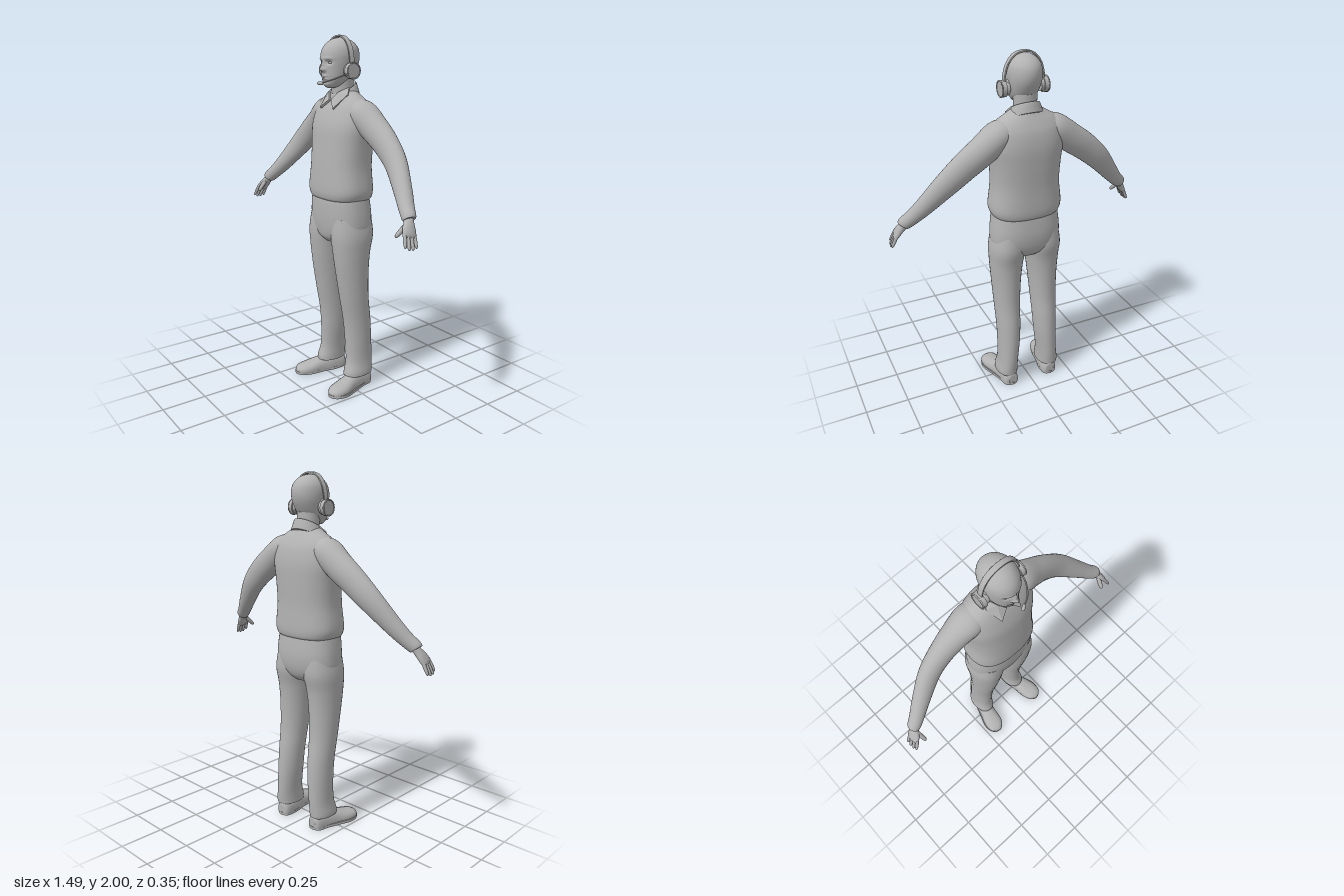
import * as THREE from 'three';
import { ConvexGeometry } from 'three/addons/geometries/ConvexGeometry.js';

const V = (x, y, z) => new THREE.Vector3(x, y, z);
const grey = new THREE.MeshStandardMaterial({ color: 0xb2b2b2 });
grey.name = 'plainGrey';

// Smooth interpolation between cross-section rows
function resample(rows, steps) {
  const out = [];
  const at = i => rows[Math.min(rows.length - 1, Math.max(0, i))];
  for (let i = 0; i < rows.length - 1; i++) {
    for (let k = 0; k < steps; k++) {
      const t = k / steps;
      out.push(at(i).map((b, c) => {
        const a = at(i - 1)[c], d = at(i + 1)[c], e = at(i + 2)[c];
        return b + 0.5 * t * (d - a + t * (2 * a - 5 * b + 4 * d - e + t * (3 * (b - d) + e - a)));
      }));
    }
  }
  out.push(rows[rows.length - 1]);
  return out;
}

// Skin over rows of [x, y, z, halfWidth, halfDepth, roundness]; flat keeps every ring level
function loft(rows, { flat = false, ref = V(0, 0, 1), seg = 32, steps = 5, rule = null } = {}) {
  const list = resample(rows.map(r => (r.length < 6 ? [...r, 2] : r)), steps);
  const pos = [], idx = [], n = list.length;
  const centre = i => V(...list[Math.min(n - 1, Math.max(0, i))].slice(0, 3));
  const bend = (c, p) => Math.sign(c) * Math.abs(c) ** (2 / p);
  list.forEach((r, i) => {
    const t = flat ? V(0, 1, 0) : centre(i + 1).sub(centre(i - 1)).normalize();
    const v = ref.clone().addScaledVector(t, -t.dot(ref)).normalize();
    const u = t.clone().cross(v);
    for (let j = 0; j < seg; j++) {
      const q = j / seg * Math.PI * 2;
      const p = centre(i).addScaledVector(u, r[3] * bend(Math.cos(q), r[5])).addScaledVector(v, r[4] * bend(Math.sin(q), r[5]));
      if (rule) rule(p);
      pos.push(p.x, p.y, p.z);
    }
  });
  for (let i = 0; i < n - 1; i++) for (let j = 0; j < seg; j++) {
    const a = i * seg + j, b = i * seg + (j + 1) % seg;
    idx.push(a, a + seg, b, b, a + seg, b + seg);
  }
  // End caps with their own corners, so the rims stay crisp
  for (const end of [0, n - 1]) {
    const base = pos.length / 3, c = centre(end);
    if (rule) rule(c);
    pos.push(...pos.slice(end * seg * 3, (end + 1) * seg * 3), c.x, c.y, c.z);
    for (let j = 0; j < seg; j++) {
      const a = base + j, b = base + (j + 1) % seg;
      idx.push(base + seg, end ? b : a, end ? a : b);
    }
  }
  const g = new THREE.BufferGeometry();
  g.setAttribute('position', new THREE.Float32BufferAttribute(pos, 3));
  g.setIndex(idx);
  g.computeVertexNormals();
  return g;
}

export function createModel() {
  const model = new THREE.Group();
  model.name = 'standingMan';
  const add = (name, geometry) => {
    const m = new THREE.Mesh(geometry, grey);
    m.name = name;
    model.add(m);
    return m;
  };
  // Level section given by its back and front z
  const slab = (y, a, back, front, p = 2, x = 0) => [x, y, (back + front) / 2, a, (front - back) / 2, p];

  // Pullover body with gathered hem
  add('shirt', loft([
    slab(1.12, 0.183, -0.158, 0.104, 2.5), slab(1.135, 0.195, -0.166, 0.113, 2.5), slab(1.18, 0.204, -0.17, 0.118, 2.5),
    slab(1.3, 0.192, -0.168, 0.112, 2.4), slab(1.42, 0.197, -0.172, 0.102, 2.4), slab(1.52, 0.208, -0.173, 0.09, 2.4),
    slab(1.6, 0.2, -0.16, 0.064, 2.3), slab(1.65, 0.175, -0.138, 0.04, 2.2), slab(1.69, 0.115, -0.115, 0.02),
    slab(1.715, 0.07, -0.1, 0.01)], { flat: true, seg: 48 }));

  // Trousers: seat, then a leg each side below
  add('trouserSeat', loft([
    slab(0.87, 0.1, -0.11, 0.06), slab(0.9, 0.165, -0.14, 0.088), slab(0.95, 0.198, -0.158, 0.1, 2.3),
    slab(1.02, 0.2, -0.164, 0.106, 2.4), slab(1.1, 0.192, -0.157, 0.106, 2.4), slab(1.15, 0.185, -0.15, 0.1, 2.4)],
  { flat: true, seg: 48 }));

  for (const s of [1, -1]) {
    const side = s > 0 ? 'left' : 'right';
    const mirror = rows => rows.map(([x, ...r]) => [x * s, ...r]);

    add(side + 'TrouserLeg', loft(mirror([
      slab(0.075, 0.062, -0.143, 0.036, 2.2, 0.135), slab(0.1, 0.062, -0.145, 0.034, 2.2, 0.135),
      slab(0.17, 0.058, -0.149, 0.018, 2.1, 0.129), slab(0.3, 0.065, -0.148, 0.02, 2, 0.121),
      slab(0.42, 0.07, -0.14, 0.03, 2, 0.118), slab(0.55, 0.076, -0.124, 0.052, 2, 0.117),
      slab(0.7, 0.085, -0.122, 0.076, 2, 0.115), slab(0.82, 0.094, -0.13, 0.09, 2.1, 0.112),
      slab(0.92, 0.101, -0.15, 0.097, 2.2, 0.107), slab(1.02, 0.09, -0.145, 0.09, 2.2, 0.1)]), { flat: true }));

    // Shoe upper, flattened underneath, on a thin sole
    add(side + 'Shoe', loft(mirror([
      [0.127, 0.02, -0.138, 0.025, 0.045], [0.128, 0.02, -0.12, 0.043, 0.065], [0.136, 0.02, -0.05, 0.048, 0.075],
      [0.152, 0.02, 0.02, 0.05, 0.062], [0.168, 0.02, 0.09, 0.058, 0.042], [0.177, 0.018, 0.14, 0.05, 0.033],
      [0.18, 0.016, 0.165, 0.028, 0.02], [0.181, 0.014, 0.173, 0.008, 0.006]].map(r => [...r, 2.3])),
    { ref: V(0, 1, 0), rule: p => { p.y = Math.max(p.y, 0.012); } }));
    const outline = [[0.127, -0.142], [0.092, -0.125], [0.086, -0.06], [0.102, 0.02], [0.112, 0.1], [0.14, 0.16],
      [0.182, 0.176], [0.22, 0.15], [0.233, 0.09], [0.208, 0.01], [0.184, -0.06], [0.168, -0.125]];
    const sole = new THREE.Shape().setFromPoints(new THREE.SplineCurve(
      [...outline, outline[0]].map(([x, z]) => new THREE.Vector2(x * s, -z))).getPoints(48).slice(0, -1));
    add(side + 'ShoeSole', new THREE.ExtrudeGeometry(sole, { depth: 0.016, bevelEnabled: false }).rotateX(-Math.PI / 2));

    // Sleeve and hand
    add(side + 'Sleeve', loft(mirror([
      [0.1, 1.615, -0.05, 0.055, 0.065], [0.16, 1.588, -0.055, 0.078, 0.085], [0.25, 1.522, -0.062, 0.08, 0.073],
      [0.35, 1.45, -0.06, 0.076, 0.06], [0.45, 1.362, -0.045, 0.067, 0.052], [0.56, 1.243, 0, 0.05, 0.045],
      [0.62, 1.18, 0.03, 0.041, 0.04], [0.662, 1.143, 0.05, 0.037, 0.036], [0.67, 1.134, 0.053, 0.03, 0.031]])));
    add(side + 'Palm', loft(mirror([
      [0.65, 1.155, 0.045, 0.022, 0.026], [0.672, 1.122, 0.058, 0.021, 0.027], [0.69, 1.096, 0.072, 0.019, 0.036],
      [0.706, 1.07, 0.083, 0.015, 0.039], [0.713, 1.057, 0.088, 0.008, 0.034]]), { seg: 20 }));
    const digit = (name, from, to, r) => {
      const rows = [[0, 1], [0.35, 1], [0.65, 0.95], [0.92, 0.7], [1, 0.2]].map(([t, k]) =>
        [...from.clone().lerp(to, t).toArray(), r * k, r * k]);
      add(side + name, loft(mirror(rows), { seg: 10, steps: 2 }));
    };
    ['LittleFinger', 'RingFinger', 'MiddleFinger', 'IndexFinger'].forEach((name, i) => {
      const o = i - 1.5, reach = [0.82, 0.96, 1, 0.9][i];
      const from = V(0.705 - o * 0.003, 1.074 + o * 0.005, 0.083 + o * 0.018);
      digit(name, from, from.clone().add(V(0.034, -0.074, 0.014 + o * 0.004).multiplyScalar(reach)), 0.0095);
    });
    digit('Thumb', V(0.675, 1.11, 0.08), V(0.662, 1.056, 0.133), 0.0125);

    // Pointed collar flap
    const flap = [V(0.008, 1.662, 0.047), V(0.06, 1.618, 0.073), V(0.098, 1.69, 0.0), V(0.07, 1.727, -0.03), V(0.045, 1.705, 0.02)];
    add(side + 'CollarFlap', new ConvexGeometry(flap.flatMap(p => [p, p.clone().add(V(-0.004, -0.006, -0.01))])
      .map(p => V(p.x * s, p.y, p.z))));

    // Eye and ear
    const eye = add(side + 'Eye', new THREE.SphereGeometry(0.012, 16, 10));
    eye.position.set(0.033 * s, 1.857, 0.067);
    eye.scale.set(1.15, 0.6, 0.8);
    const ear = add(side + 'Ear', new THREE.SphereGeometry(0.03, 16, 12));
    ear.position.set(0.088 * s, 1.83, -0.018);
    ear.scale.set(0.35, 1.05, 0.65);

    // Headset cup: pad, shell and raised rim
    const disc = (name, r, x, w) => add(side + name, new THREE.CylinderGeometry(r, r, w, 32).rotateZ(Math.PI / 2))
      .position.set(x * s, 1.815, -0.016);
    disc('EarPad', 0.036, 0.098, 0.022);
    disc('EarShell', 0.043, 0.118, 0.026);
    const rim = add(side + 'EarRim', new THREE.TorusGeometry(0.041, 0.004, 8, 32).rotateY(Math.PI / 2));
    rim.position.set(0.13 * s, 1.815, -0.016);
  }

  // Collar band, higher at the nape
  add('collarBand', loft([
    [0, 1.665, -0.042, 0.096, 0.084], [0, 1.69, -0.042, 0.088, 0.078], [0, 1.722, -0.042, 0.076, 0.07],
    [0, 1.724, -0.042, 0.07, 0.064], [0, 1.7, -0.042, 0.062, 0.058]],
  { flat: true, steps: 3, rule: p => { p.y -= 0.5 * (p.z + 0.042); } }));
  add('neck', loft([slab(1.66, 0.063, -0.1, 0.02), slab(1.72, 0.062, -0.095, 0.022), slab(1.8, 0.066, -0.095, 0.03)], { flat: true }));

  // Head with the face pressed and raised by soft bumps
  const bump = (p, x, y, w, h) => Math.exp(-(((Math.abs(p.x) - x) / w) ** 2) - ((p.y - y) / h) ** 2);
  const face = p => {
    if (p.z < 0.02) return;
    p.z += 0.026 * bump(p, 0, 1.822, 0.013, 0.012) + 0.014 * bump(p, 0, 1.845, 0.01, 0.016)
      + 0.007 * bump(p, 0.015, 1.818, 0.007, 0.008) - 0.014 * bump(p, 0.034, 1.857, 0.017, 0.011)
      + 0.005 * bump(p, 0.03, 1.878, 0.028, 0.008) + 0.007 * bump(p, 0, 1.786, 0.022, 0.005)
      + 0.006 * bump(p, 0, 1.773, 0.02, 0.005) - 0.004 * bump(p, 0, 1.7795, 0.026, 0.0025)
      - 0.004 * bump(p, 0, 1.76, 0.025, 0.006) + 0.005 * bump(p, 0, 1.74, 0.02, 0.01);
  };
  add('head', loft([
    slab(1.724, 0.018, 0.02, 0.058), slab(1.732, 0.036, -0.005, 0.07), slab(1.75, 0.056, -0.045, 0.08),
    slab(1.78, 0.073, -0.085, 0.085, 2.1), slab(1.82, 0.083, -0.112, 0.088, 2.1), slab(1.86, 0.089, -0.128, 0.09, 2.1),
    slab(1.9, 0.091, -0.132, 0.09), slab(1.935, 0.083, -0.122, 0.076), slab(1.963, 0.063, -0.096, 0.05),
    slab(1.98, 0.036, -0.062, 0.018), slab(1.986, 0.008, -0.03, -0.01)], { flat: true, seg: 96, steps: 9, rule: face }));

  // Flat headband arching over the head
  const arch = [[-0.112, 1.83], [-0.108, 1.88], [-0.092, 1.935], [-0.055, 1.98], [0, 1.995],
    [0.055, 1.98], [0.092, 1.935], [0.108, 1.88], [0.112, 1.83]];
  add('headband', loft(arch.map(([x, y]) => [x, y, -0.018, 0.005, 0.015, 5]), { seg: 24 }));

  // Microphone on its boom
  const boom = new THREE.CatmullRomCurve3([V(0.115, 1.8, 0.015), V(0.103, 1.785, 0.055), V(0.07, 1.765, 0.1), V(0.028, 1.752, 0.122)]);
  add('microphoneBoom', new THREE.TubeGeometry(boom, 24, 0.004, 8));
  const mic = add('microphone', new THREE.CapsuleGeometry(0.009, 0.018, 6, 12).rotateZ(Math.PI / 2));
  mic.position.set(0.024, 1.751, 0.125);
  mic.rotation.y = 0.6;

  return model;
}
